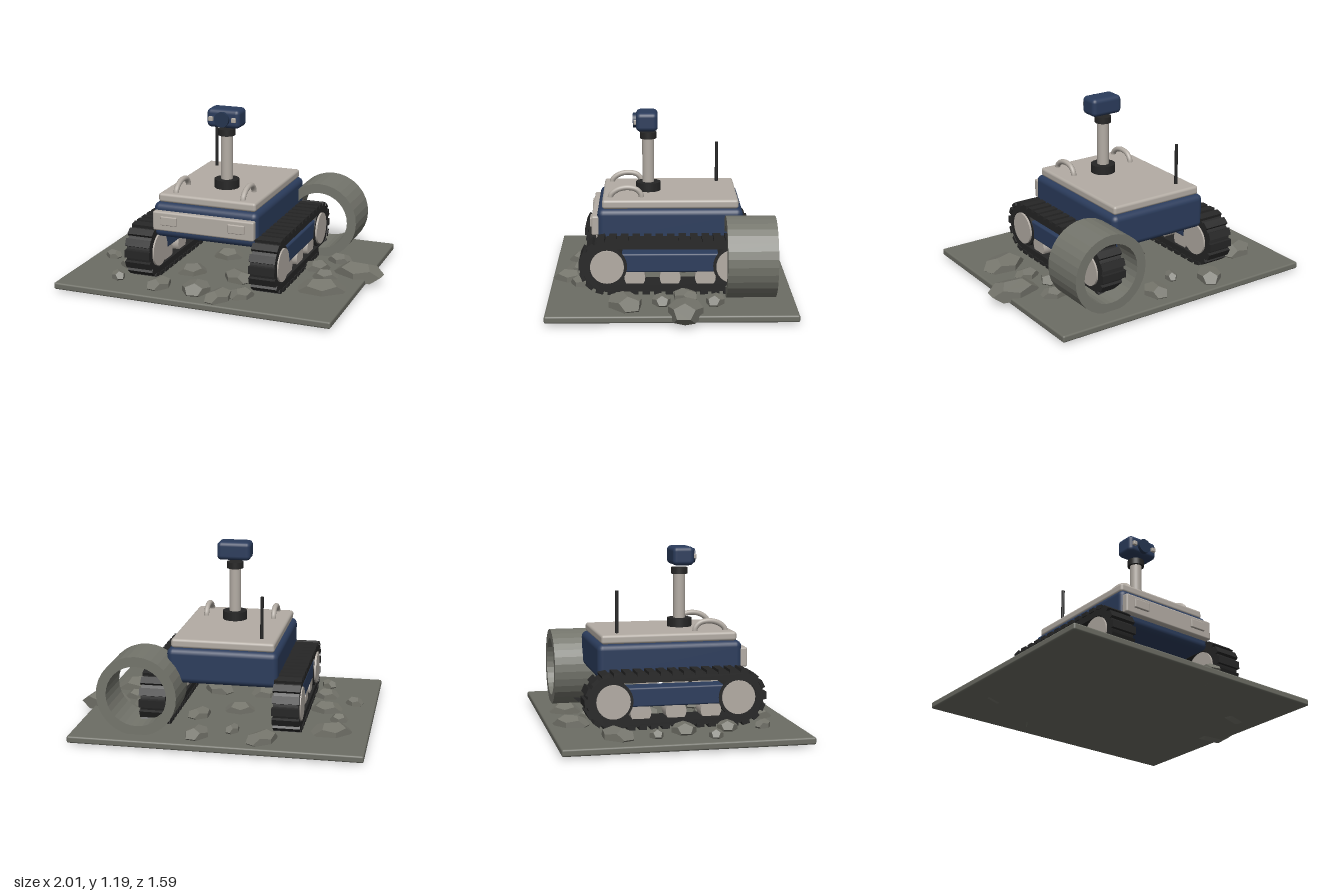
import * as THREE from 'three';
import { RoundedBoxGeometry } from 'three/addons/geometries/RoundedBoxGeometry.js';

const mat = (name, color, extra = {}) => {
  const m = new THREE.MeshStandardMaterial({ color, ...extra });
  m.name = name;
  return m;
};
const groundMat = mat('ground grey', 0x6c6d64);
const rockMat = mat('rock grey', 0x74746b, { flatShading: true });
const pipeMat = mat('concrete grey', 0x74756c);
const blue = mat('navy blue', 0x2b3c5c);
const light = mat('warm light grey', 0xb3aca4);
const black = mat('rubber black', 0x262626);
const glass = mat('lens blue', 0x24344f);

const CX = -0.045; // centre line of the rover

function add(parent, name, geometry, material, x = 0, y = 0, z = 0) {
  const m = new THREE.Mesh(geometry, material);
  m.name = name;
  m.position.set(x, y, z);
  parent.add(m);
  return m;
}
const box = (w, h, d, r) => new RoundedBoxGeometry(w, h, d, 3, r);
const cyl = (r, h, n = 32) => new THREE.CylinderGeometry(r, r, h, n);
const axle = (r, h, n = 32) => cyl(r, h, n).rotateZ(Math.PI / 2);

// Track loop: two half circles of radius r joined by straights
const END = 0.41, WHEEL_Y = 0.245;
function stadium(PathType, r) {
  const p = new PathType();
  p.moveTo(-END, -r);
  p.lineTo(END, -r);
  p.absarc(END, 0, r, -Math.PI / 2, Math.PI / 2, false);
  p.lineTo(-END, r);
  p.absarc(-END, 0, r, Math.PI / 2, Math.PI * 1.5, false);
  return p;
}

// Position and outward angle at distance s along the loop
function alongLoop(s, r) {
  const straight = 2 * END, arc = Math.PI * r;
  if (s < straight) return { z: END - s, y: r, a: Math.PI / 2 };
  s -= straight;
  if (s < arc) {
    const a = Math.PI / 2 + s / r;
    return { z: -END + Math.cos(a) * r, y: Math.sin(a) * r, a };
  }
  s -= arc;
  if (s < straight) return { z: -END + s, y: -r, a: -Math.PI / 2 };
  const a = -Math.PI / 2 + (s - straight) / r;
  return { z: END + Math.cos(a) * r, y: Math.sin(a) * r, a };
}

function makeTrack(name) {
  const g = new THREE.Group();
  g.name = name;
  const shape = stadium(THREE.Shape, 0.167);
  shape.holes.push(stadium(THREE.Path, 0.118));
  const belt = new THREE.ExtrudeGeometry(shape, { depth: 0.165, bevelEnabled: false, curveSegments: 20 });
  belt.translate(0, 0, -0.0825).rotateY(-Math.PI / 2);
  add(g, 'belt', belt, black);

  // Raised cleats around the belt
  const count = 36, r = 0.172, total = 4 * END + 2 * Math.PI * r;
  const cleat = new THREE.BoxGeometry(0.178, 0.026, 0.05);
  for (let i = 0; i < count; i++) {
    const p = alongLoop((i + 0.5) * total / count, r);
    add(g, 'cleat', cleat, black, 0, p.y, p.z).rotation.x = Math.PI / 2 - p.a;
  }

  // End wheels, road wheels and the side frame
  for (const z of [-END, END]) {
    add(g, 'endWheel', axle(0.13, 0.15), black, 0, 0, z);
    add(g, 'wheelHub', axle(0.11, 0.178), light, 0, 0, z);
  }
  for (const z of [-0.23, 0, 0.23]) add(g, 'roadWheel', axle(0.068, 0.13, 24), light, 0, -0.078, z);
  add(g, 'sideFrame', box(0.14, 0.125, 0.8, 0.012), blue, 0, 0.022, 0);
  return g;
}

function makeMast() {
  const g = new THREE.Group();
  g.name = 'cameraMast';
  g.position.set(-0.02, 0, 0.14);
  add(g, 'mastBase', cyl(0.083, 0.06), black, 0, 0.675, 0);
  add(g, 'mastPole', cyl(0.04, 0.32), light, 0, 0.86, 0);
  add(g, 'mastCollar', cyl(0.056, 0.043), black, 0, 1.025, 0);
  add(g, 'cameraHead', box(0.23, 0.125, 0.145, 0.03), blue, 0.002, 1.127, 0.008);
  add(g, 'mainLens', cyl(0.05, 0.03).rotateX(Math.PI / 2), glass, 0, 1.125, 0.087);
  for (const s of [-1, 1]) add(g, 'headLamp', box(0.03, 0.03, 0.03, 0.004), light, 0.002 + s * 0.08, 1.125, 0.083);
  return g;
}

// Rocks: x, z, half length, half width, turn
const ROCKS = [
  [-0.34, -0.65, 0.12, 0.08, 1.0], [0.09, -0.63, 0.105, 0.08, 1.4], [-0.76, -0.42, 0.13, 0.095, 0.4],
  [-0.785, -0.18, 0.06, 0.045, 0], [-0.68, 0.02, 0.105, 0.08, -0.1], [-0.855, 0.185, 0.06, 0.045, -0.3],
  [-0.65, 0.31, 0.085, 0.065, -0.2], [-0.64, 0.55, 0.06, 0.045, -0.9], [-0.32, 0.6, 0.1, 0.075, 1.4],
  [-0.06, 0.59, 0.115, 0.095, -1.4], [0.13, 0.67, 0.115, 0.075, 1.3], [0.7, 0.29, 0.155, 0.11, 0.3],
  [0.655, 0.06, 0.085, 0.06, 0.1], [0.845, -0.09, 0.165, 0.11, -0.1], [0.55, -0.095, 0.085, 0.08, 0.6],
  [0.655, -0.285, 0.085, 0.06, -0.2], [-0.125, -0.51, 0.06, 0.04, 1.2], [0.25, 0.58, 0.085, 0.07, 0.9],
  [-0.22, 0.28, 0.1, 0.08, 0.5], [0.12, 0.3, 0.11, 0.08, -0.6], [-0.1, -0.1, 0.1, 0.075, 0.2],
  [0.15, -0.25, 0.09, 0.07, 1.1],
];

export function createModel() {
  const model = new THREE.Group();
  model.name = 'trackedRover';

  // Ground slab and rubble
  add(model, 'groundSlab', box(1.91, 0.046, 1.59, 0.012), groundMat, CX, 0.036, -0.005);
  const rubble = new THREE.Group();
  rubble.name = 'rubble';
  model.add(rubble);
  for (const [x, z, a, b, turn] of ROCKS) {
    const rock = add(rubble, 'rock', new THREE.DodecahedronGeometry(1.07), rockMat, x, 0.07, z);
    rock.scale.set(a, 0.025 + 0.28 * a, b);
    rock.rotation.y = turn;
  }

  // Concrete pipe section
  const ring = new THREE.Shape().absarc(0, 0, 0.265, 0, Math.PI * 2, false);
  ring.holes.push(new THREE.Path().absarc(0, 0, 0.2, 0, Math.PI * 2, true));
  const pipe = new THREE.ExtrudeGeometry(ring, { depth: 0.32, bevelEnabled: false, curveSegments: 16 });
  add(model, 'pipeSection', pipe, pipeMat, 0.475, 0.315, -0.68);

  // Tracks
  for (const s of [-1, 1]) {
    const track = makeTrack(s > 0 ? 'leftTrack' : 'rightTrack');
    track.position.set(CX + s * 0.435, WHEEL_Y, 0);
    model.add(track);
  }

  // Hull, deck and front panel
  add(model, 'hull', box(0.73, 0.235, 0.96, 0.04), blue, CX, 0.472, -0.003);
  add(model, 'deck', box(0.68, 0.06, 0.9, 0.018), light, CX, 0.617, -0.005);
  add(model, 'frontPanel', box(0.705, 0.13, 0.05, 0.012), light, CX, 0.478, 0.49);
  for (const s of [-1, 1]) add(model, 'frontLamp', box(0.115, 0.06, 0.03, 0.006), light, CX + s * 0.235, 0.486, 0.513);

  // Grab handles
  const path = new THREE.CatmullRomCurve3([[0.63, 0.395], [0.665, 0.385], [0.698, 0.34], [0.71, 0.28],
    [0.698, 0.22], [0.665, 0.19], [0.63, 0.185]].map(([y, z]) => new THREE.Vector3(0, y, z)));
  const handle = new THREE.TubeGeometry(path, 32, 0.018, 12);
  for (const s of [-1, 1]) add(model, 'grabHandle', handle, light, CX + s * 0.235, 0, 0);

  // Antenna and camera mast
  add(model, 'antenna', cyl(0.011, 0.29, 12), black, -0.285, 0.78, -0.337);
  model.add(makeMast());
  return model;
}
